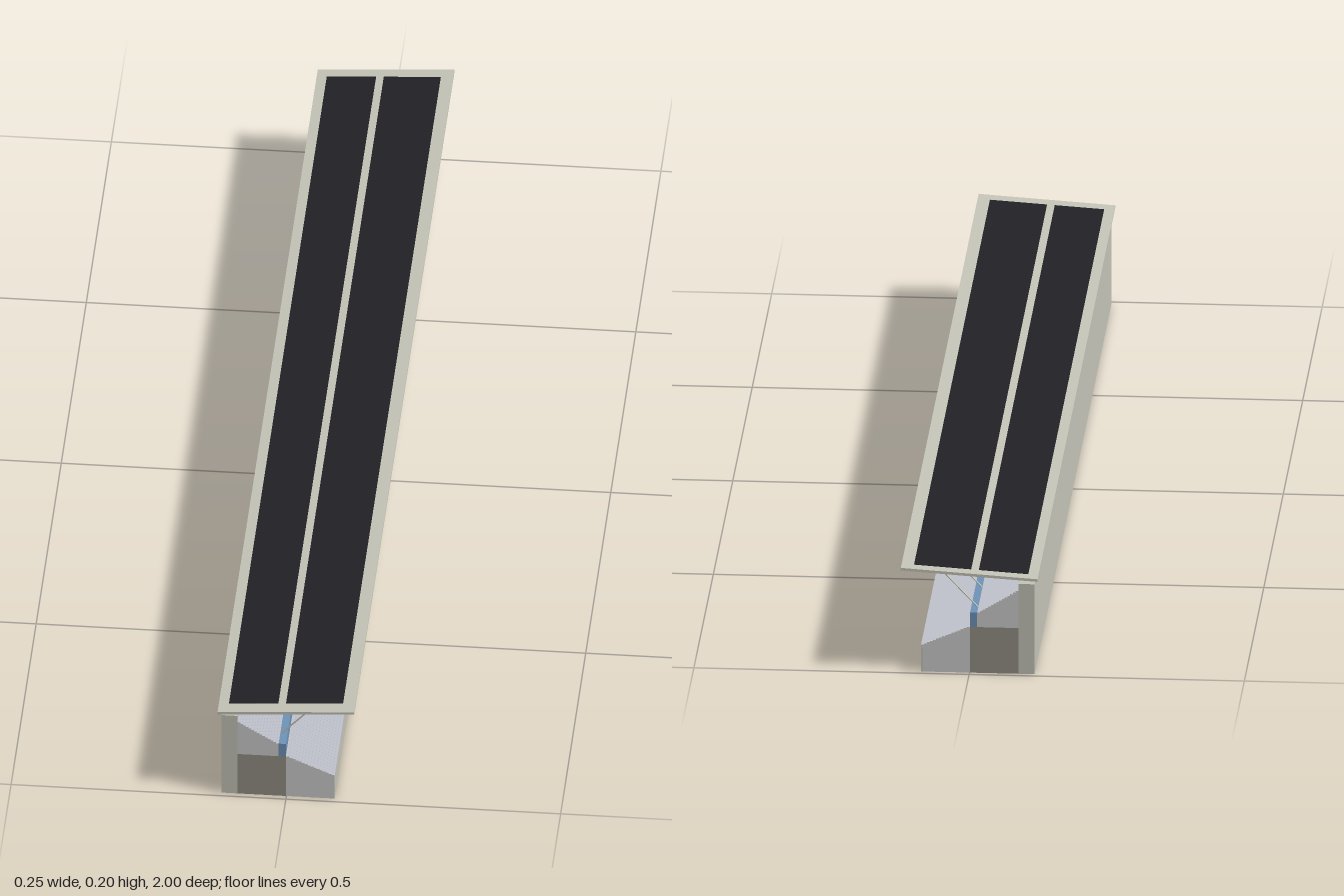
import * as THREE from 'three';

const HALF = 0.99; // half length of the building

function mat(color, side = THREE.FrontSide) {
  return new THREE.MeshStandardMaterial({ color, side });
}

export function createModel() {
  const model = new THREE.Group();
  const grey = mat(0xcccccc);
  const wall = mat(0xc4c4b8);
  const seat = mat(0xbfc2cc);
  const brown = mat(0x948f85);
  const blue = mat(0x6f93b8);
  const dark = mat(0x222226);

  function add(name, geometry, material, parent = model) {
    const mesh = new THREE.Mesh(geometry, material);
    mesh.name = name;
    parent.add(mesh);
    return mesh;
  }

  // Box given by its x, y and z limits
  function block(name, x0, x1, y0, y1, z0, z1, material, parent) {
    const m = add(name, new THREE.BoxGeometry(x1 - x0, y1 - y0, z1 - z0), material, parent);
    m.position.set((x0 + x1) / 2, (y0 + y1) / 2, (z0 + z1) / 2);
    return m;
  }

  // Staircase descending from (x0, y0) to (x1, y1)
  function stairs(x0, y0, x1, y1, count) {
    const points = [];
    for (let i = 0; i < count; i++) {
      const y = y0 + (y1 - y0) * i / (count - 1);
      points.push([x0 + (x1 - x0) * i / count, y], [x0 + (x1 - x0) * (i + 1) / count, y]);
    }
    return points;
  }

  // Cross-section in x and y, swept along z
  function sweep(points, z0, z1) {
    const shape = new THREE.Shape(points.map(([x, y]) => new THREE.Vector2(x, y)));
    const g = new THREE.ExtrudeGeometry(shape, { depth: z1 - z0, bevelEnabled: false });
    return g.translate(0, 0, z0);
  }

  // Round rod between two points
  function rod(name, a, b, radius, parent) {
    const dir = b.clone().sub(a);
    const m = add(name, new THREE.CylinderGeometry(radius, radius, dir.length(), 8), wall, parent);
    m.position.copy(a).add(b).multiplyScalar(0.5);
    m.quaternion.setFromUnitVectors(new THREE.Vector3(0, 1, 0), dir.normalize());
  }

  // Rear wall and its inner lining
  block('rearWall', -0.118, -0.1, 0, 0.173, -HALF, HALF, wall);
  block('rearWallLining', -0.1, -0.089, 0, 0.173, -HALF, HALF, wall);

  // Concourse under the upper seating, with its grey inner wall
  block('concourse', -0.089, -0.001, 0, 0.088, -HALF, HALF, brown);
  block('concourseFrontWall', -0.001, 0, 0, 0.088, -HALF, HALF, grey);

  // Upper seating
  const upper = stairs(-0.089, 0.159, -0.014, 0.116, 15);
  add('upperSeating', sweep([[-0.089, 0.088], ...upper, [-0.014, 0.088]], -HALF, HALF), [grey, seat]);

  // Glazed row between the two tiers
  block('glazedBoxes', -0.014, -0.001, 0.088, 0.116, -HALF, HALF, blue);

  // Lower seating: stepped shell, open underneath, closed by a front wall and end walls
  const lower = stairs(0, 0.088, 0.088, 0.052, 16);
  add('lowerSeating', sweep([[0, 0.08], ...lower, [0.088, 0.045]], -HALF, HALF), [grey, seat]);
  block('frontWall', 0.084, 0.088, 0, 0.052, -HALF, HALF, wall);
  for (const z of [-HALF, HALF - 0.004]) {
    add('lowerEndWall', sweep([[0, 0], ...lower, [0.088, 0]], z, z + 0.004), grey);
  }

  // Sloping roof with two dark panels
  const roof = new THREE.Group();
  roof.name = 'roof';
  roof.position.set(0, 0.1918, 0);
  roof.rotation.z = Math.atan2(0.0157, 0.248);
  model.add(roof);
  block('roofSlab', -0.1245, 0.1245, -0.0025, 0.0025, -1, 1, wall, roof);
  block('rearRoofPanel', -0.106, -0.016, 0.002, 0.003, -0.977, 0.973, dark, roof);
  block('frontRoofPanel', -0.002, 0.102, 0.002, 0.003, -0.977, 0.973, dark, roof);

  // Roof supports: a short post on the rear wall and a raking strut at each bay
  const supports = new THREE.Group();
  supports.name = 'roofSupports';
  model.add(supports);
  for (let i = 0; i < 19; i++) {
    const z = -0.957 + i * 1.914 / 18;
    block('rearPost', -0.093, -0.09, 0.172, 0.185, z - 0.0015, z + 0.0015, wall, supports);
    rod('rakingStrut', new THREE.Vector3(-0.013, 0.115, z), new THREE.Vector3(0.061, 0.194, z), 0.0015, supports);
  }

  return model;
}
